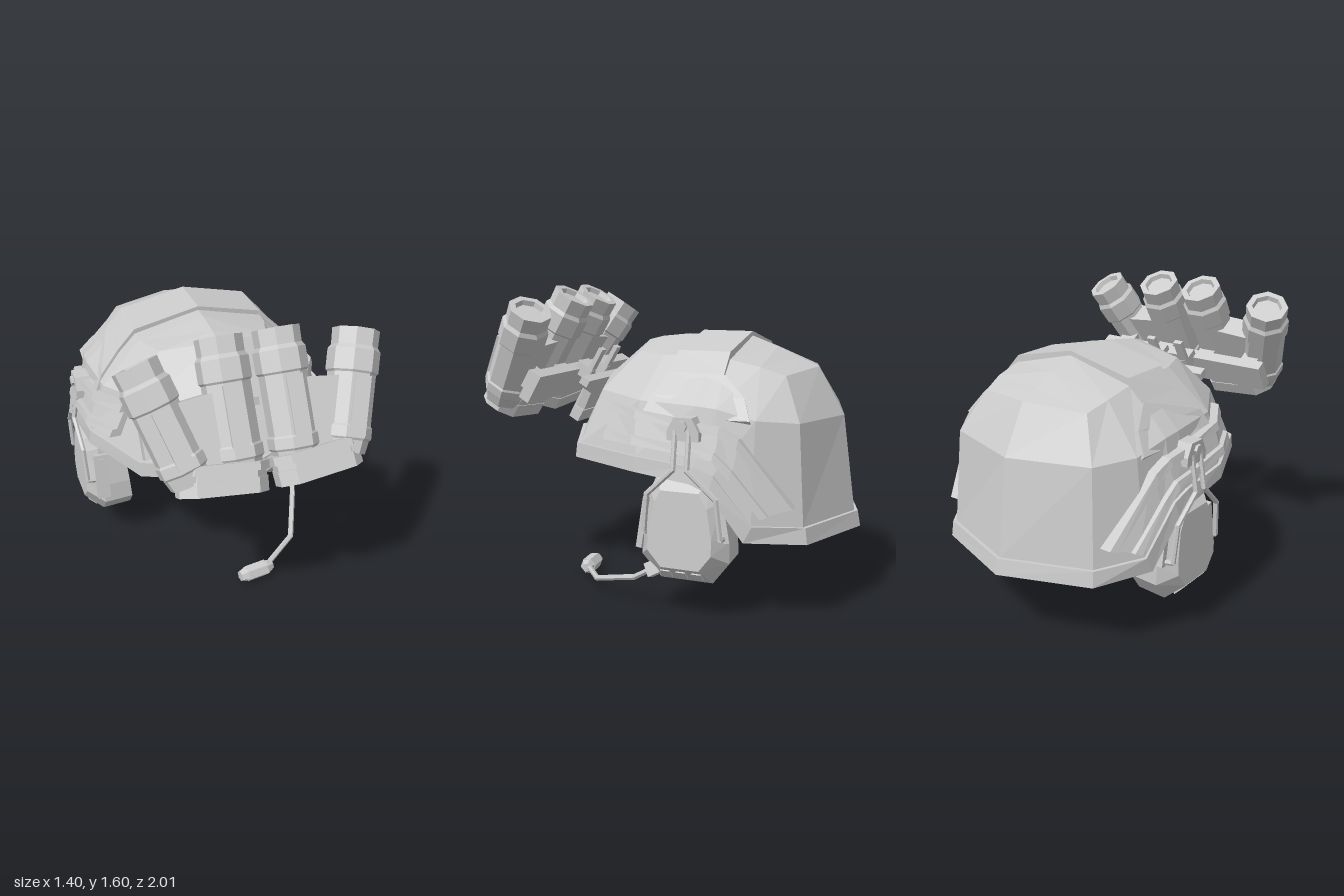
import * as THREE from 'three';

const V = (x, y, z) => new THREE.Vector3(x, y, z);
const material = new THREE.MeshStandardMaterial({ color: 0xcccccc, flatShading: true, side: THREE.DoubleSide });

// Unshared vertices, faces turned outwards by the sign of the volume
function faceted(geo) {
  const g = geo.index ? geo.toNonIndexed() : geo;
  const p = g.attributes.position, a = V(), b = V(), c = V();
  let volume = 0;
  for (let i = 0; i < p.count; i += 3) {
    a.fromBufferAttribute(p, i); b.fromBufferAttribute(p, i + 1); c.fromBufferAttribute(p, i + 2);
    volume += a.dot(b.clone().cross(c));
  }
  if (volume < 0) for (let i = 0; i < p.count; i += 3) {
    b.fromBufferAttribute(p, i + 1); c.fromBufferAttribute(p, i + 2);
    p.setXYZ(i + 1, c.x, c.y, c.z); p.setXYZ(i + 2, b.x, b.y, b.z);
  }
  g.computeVertexNormals();
  return g;
}

function add(parent, name, geo, pos = [0, 0, 0], rot = [0, 0, 0]) {
  const mesh = new THREE.Mesh(faceted(geo), material);
  mesh.name = name;
  mesh.position.set(...pos);
  mesh.rotation.set(...rot);
  parent.add(mesh);
  return mesh;
}
const box = (w, h, d) => new THREE.BoxGeometry(w, h, d);
const points2 = list => list.map(p => new THREE.Vector2(...p));
const slice = (shape, depth) => new THREE.ExtrudeGeometry(shape, { depth, bevelEnabled: false });

// Skin through closed rings of equal size, with optional end caps
function loft(rings, caps = true) {
  const n = rings[0].length, idx = [];
  for (let r = 0; r < rings.length - 1; r++) for (let i = 0; i < n; i++) {
    const a = r * n + i, b = r * n + (i + 1) % n;
    idx.push(a, b, b + n, a, b + n, a + n);
  }
  if (caps) for (let i = 1; i < n - 1; i++) {
    const e = (rings.length - 1) * n;
    idx.push(0, i + 1, i, e, e + i, e + i + 1);
  }
  const g = new THREE.BufferGeometry().setFromPoints(rings.flat());
  g.setIndex(idx);
  return g;
}

// Straight rod between two points
function rod(parent, name, a, b, r, r2 = r) {
  const d = b.clone().sub(a), m = add(parent, name, new THREE.CylinderGeometry(r2, r, d.length() + 0.008, 6));
  m.position.copy(a).addScaledVector(d, 0.5);
  m.quaternion.setFromUnitVectors(V(0, 1, 0), d.normalize());
}
function rods(parent, name, pts, r) {
  for (let i = 0; i < pts.length - 1; i++) rod(parent, name, V(...pts[i]), V(...pts[i + 1]), r);
}

// Copy a half across x = 0
function mirrored(group) {
  const out = new THREE.Group();
  out.name = group.name.replace('left', 'right');
  group.updateMatrixWorld(true);
  const flip = new THREE.Matrix4().makeScale(-1, 1, 1);
  group.traverse(o => {
    if (o.isMesh) add(out, o.name, o.geometry.clone().applyMatrix4(o.matrixWorld).applyMatrix4(flip));
  });
  return out;
}

// Half cross-sections of the helmet, front centre to back centre
const RIM = [[0, .76, .6], [.48, .745, .38], [.65, .735, -.02], [.66, .70, -.32], [.655, .66, -.41], [.615, .43, -.57], [.465, .41, -.84], [0, .40, -1]];
const RIM_TOP = [[0, .83, .59], [.48, .82, .37], [.645, .81, -.02], [.65, .78, -.33], [.645, .745, -.43], [.605, .51, -.61], [.46, .49, -.83], [0, .48, -.985]];
const MIDDLE = [[0, 1.12, .41], [.4, 1.09, .26], [.56, 1.07, -.02], [.58, 1.06, -.32], [.575, 1.05, -.42], [.54, 1.0, -.6], [.42, .98, -.78], [0, .97, -.9]];
const CROWN = [[0, 1.32, .17], [.29, 1.28, .1], [.345, 1.275, -.06], [.36, 1.275, -.32], [.357, 1.265, -.4], [.345, 1.23, -.56], [.315, 1.19, -.68], [0, 1.21, -.765]];
const SPINE = [[0, 1.32, .17], [0, 1.34, .09], [0, 1.357, -.06], [0, 1.357, -.32], [0, 1.355, -.41], [0, 1.305, -.55], [0, 1.25, -.67], [0, 1.21, -.765]];
const inset = (half, k) => half.map(([x, y, z]) => [x * k, y, (z + .25) * k - .25]);
const level = (half, h) => half.map(([x, , z]) => [x, h, z]);
const fullRing = half => [...half, ...half.slice(1, -1).reverse().map(([x, y, z]) => [-x, y, z])].map(p => V(...p));

// Half width of the helmet wall at a height and depth
function wallX(y, z) {
  const at = ring => {
    let i = 0;
    while (i < ring.length - 2 && ring[i + 1][2] > z) i++;
    const [a, b] = [ring[i], ring[i + 1]], t = (z - a[2]) / (b[2] - a[2]);
    return [a[0] + (b[0] - a[0]) * t, a[1] + (b[1] - a[1]) * t];
  };
  const [low, mid, high] = [RIM_TOP, MIDDLE, CROWN].map(at);
  const [p, q] = y > mid[1] ? [mid, high] : [low, mid];
  return p[0] + (q[0] - p[0]) * THREE.MathUtils.clamp((y - p[1]) / (q[1] - p[1]), -.2, 1.2);
}

function buildHelmet(root) {
  // Inner vault, rim, wall and crown in one skin, closed along the spine
  const rings = [level(inset(RIM, 0), .93), level(inset(RIM, .3), .92), inset(RIM, .96), RIM, RIM_TOP, inset(RIM_TOP, .975),
    MIDDLE, CROWN, SPINE];
  add(root, 'helmetShell', loft(rings.map(fullRing), false));

  // Raised panel over the crown, following the wall down both sides
  const top = [[0, 1.378], [.35, 1.3]].map(([x, y]) => [V(x, y, -.14), V(x, y, -.41)]);
  const flanks = [[1.2, -.13, -.41], [1.1, -.08, -.53], [1.0, -.04, -.58]].map(([y, ...zs]) => zs.map(z => V(wallX(y, z) + .02, y, z)));
  const half = [...top, ...flanks].map(([f, b]) => {
    const inner = p => V(p.x * .93, p.y - .04, p.z);
    return [f, b, inner(b), inner(f)];
  });
  const other = half.slice(1).reverse().map(s => s.map(p => V(-p.x, p.y, p.z)));
  add(root, 'crownPanel', loft([...other, ...half]));
}

// Side rail: a plate between an upper and lower edge, with a ridge along each
function buildRail(side) {
  const stations = [[.17, 1.05, .17, .87], [-.02, 1.03, -.02, .87], [-.32, .99, -.3, .84], [-.45, .97, -.43, .82], [-.54, .92, -.51, .73], [-.78, .59, -.65, .55]];
  const strip = (name, t0, t1, lift) => add(side, name, loft(stations.map(([zu, yu, zl, yl]) => {
    const p = (t, d) => {
      const z = zu + (zl - zu) * t, y = yu + (yl - yu) * t;
      return V(wallX(y, z) + d, y, z);
    };
    return [p(t0, lift), p(t1, lift), p(t1, -.03), p(t0, -.03)];
  })));
  strip('railPlate', 0, 1, .018);
  strip('railUpperRidge', 0, .24, .042);
  strip('railLowerRidge', .76, 1, .042);
}

function buildEarCup(side) {
  const outline = [[-.13, .72], [-.4, .72], [-.46, .62], [-.495, .42], [-.495, .31], [-.41, .2], [-.14, .2], [-.04, .31], [-.045, .42], [-.09, .64]];
  const ring = (x, k, lean) => outline.map(([z, y]) => V(x + (y - .45) * lean, .5 + (y - .5) * k, -.27 + (z + .27) * k));
  add(side, 'earCup', loft([ring(.44, .97, .08), ring(.59, 1, .05), ring(.668, .72, -.03)]));
  // Side ridges and buttons
  add(side, 'cupFrontRidge', box(.07, .26, .03), [.59, .48, -.058], [-.16, 0, 0]);
  add(side, 'cupFrontInset', box(.03, .22, .03), [.59, .48, -.052], [-.16, 0, 0]);
  add(side, 'cupBackRidge', box(.07, .2, .03), [.59, .52, -.476], [.17, 0, 0]);
  for (const z of [-.19, -.27, -.35]) add(side, 'cupButton', box(.02, .06, .05), [.628, .245, z], [0, 0, -.78]);
  // Pivot bracket on the rail
  const plate = new THREE.Shape(points2([[-.08, -.045], [.08, -.045], [.08, 0], [.045, .065], [-.045, .065], [-.08, 0]]));
  add(side, 'pivotBracket', slice(plate, .08), [.585, .95, -.285], [0, Math.PI / 2, 0]);
  add(side, 'pivotBolt', new THREE.CylinderGeometry(.026, .026, .03, 6), [.665, .975, -.285], [0, 0, Math.PI / 2]);
  // Wire arms holding the cup
  for (const s of [1, -1]) {
    const z = d => -.28 + s * d;
    rods(side, 'wireArm', [[.655, .95, z(.035)], [.685, .77, z(.035)], [.675, .64, z(.175)], [.665, .45, z(.195)], [.61, .44, z(.195)]], .014);
  }
}

function buildMicrophone(root) {
  const mic = new THREE.Group();
  mic.name = 'microphone';
  add(mic, 'boomJoint', box(.05, .07, .07), [.58, .24, -.1], [.5, 0, .3]);
  rods(mic, 'boom', [[.575, .24, -.1], [.53, .16, .03], [.4, .075, .31], [.2, .05, .46]], .015);
  rod(mic, 'micCapsule', V(.17, .05, .485), V(.06, .048, .5), .045);
  rod(mic, 'micCapsule', V(.21, .052, .475), V(.17, .05, .485), .025, .045);
  rod(mic, 'micCapsule', V(.06, .048, .5), V(.022, .047, .505), .045, .03);
  root.add(mic);
}

// Frame of the raised goggles: y along the tubes, z towards the upper front
function goggleFrame(parent) {
  const g = new THREE.Group();
  g.name = 'goggleFrame';
  g.position.set(0, .95, .91);
  g.rotation.x = -.535;
  parent.add(g);
  return g;
}

// One pair of night vision tubes sharing a wide front housing
function buildTubePair(side) {
  const g = goggleFrame(side);
  const tube = (x, len, lean) => {
    const profile = [[0, .08], [.1, .08], [.112, .14], [.122, .15], [.122, .2], [.114, .21], [.114, len - .21], [.124, len - .2],
      [.124, len - .1], [.11, len - .08], [.112, len], [.08, len], [.072, len - .025], [0, len - .025]];
    const t = new THREE.Group();
    t.position.x = x;
    t.rotation.z = -lean;
    add(t, 'tube', new THREE.LatheGeometry(points2(profile), 8, Math.PI / 8));
    add(t, 'tubeRidge', box(.08, .28, .02), [.01, len - .36, .104]);
    g.add(t);
  };
  tube(.14, .7, 0);
  tube(.352, .66, .29);

  const outline = (w, d, c) => points2([[-w + c, -d], [w - c, -d], [w, -d + c], [w, d - c], [w - c, d], [-w + c, d], [-w, d - c], [-w, -d + c]]);
  const housing = new THREE.Group();
  housing.position.set(.24, 0, 0);
  housing.rotation.z = .1;
  g.add(housing);
  const slab = (name, w, d, y0, y1, hole) => {
    const s = new THREE.Shape(outline(w, d, .065));
    if (hole) s.holes.push(new THREE.Path(outline(w - .03, d - .03, .05)));
    add(housing, name, slice(s, y1 - y0).rotateX(-Math.PI / 2), [0, y0, 0]);
  };
  slab('lensRim', .21, .104, 0, .07, true);
  slab('lensHousing', .205, .1, .05, .12);
  slab('housingBand', .218, .108, .1, .14);

  const web = new THREE.Shape(points2([[.16, .1], [.37, .1], [.47, .43], [.2, .46]]));
  add(g, 'tubeWeb', slice(web, .13), [0, 0, -.07]);
  for (const x of [.14, .42]) add(g, 'bridgeStrut', box(.1, .1, .1), [x, .28, -.12]);
}

function buildMount(root) {
  const g = goggleFrame(root);
  add(g, 'bridgeBar', box(1.06, .16, .06), [0, .28, -.18]);
  for (const x of [-.09, .09]) {
    add(g, 'mountPlate', box(.05, .21, .025), [x, .42, -.265]);
    add(g, 'mountLug', box(.04, .07, .1), [x, .36, -.23]);
  }
  // Shroud on the brow of the helmet, with wings at its top
  const shape = new THREE.Shape(points2([[-.24, .12], [-.24, .08], [-.14, .03], [-.11, -.14], [.11, -.14], [.14, .03], [.24, .08], [.24, .12]]));
  add(root, 'shroudPlate', slice(shape, .05), [0, 1.0, .48], [-.52, 0, 0]);
  add(root, 'shroudLowerBracket', box(.28, .07, .06), [0, .91, .56], [-.52, 0, 0]);
  add(root, 'shroudSlot', box(.2, .02, .04), [0, .895, .58], [-.52, 0, 0]);
  for (const x of [-.09, .09]) add(root, 'shroudRib', box(.04, .24, .04), [x, 1.01, .53], [-.52, 0, 0]);
}

export function createModel() {
  const root = new THREE.Group();
  root.name = 'combatHelmet';
  buildHelmet(root);
  buildMount(root);
  const halves = { leftRail: buildRail, leftEarCup: buildEarCup, leftGoggles: buildTubePair };
  for (const [name, build] of Object.entries(halves)) {
    const half = new THREE.Group();
    half.name = name;
    build(half);
    root.add(half, mirrored(half));
  }
  buildMicrophone(root);
  return root;
}
